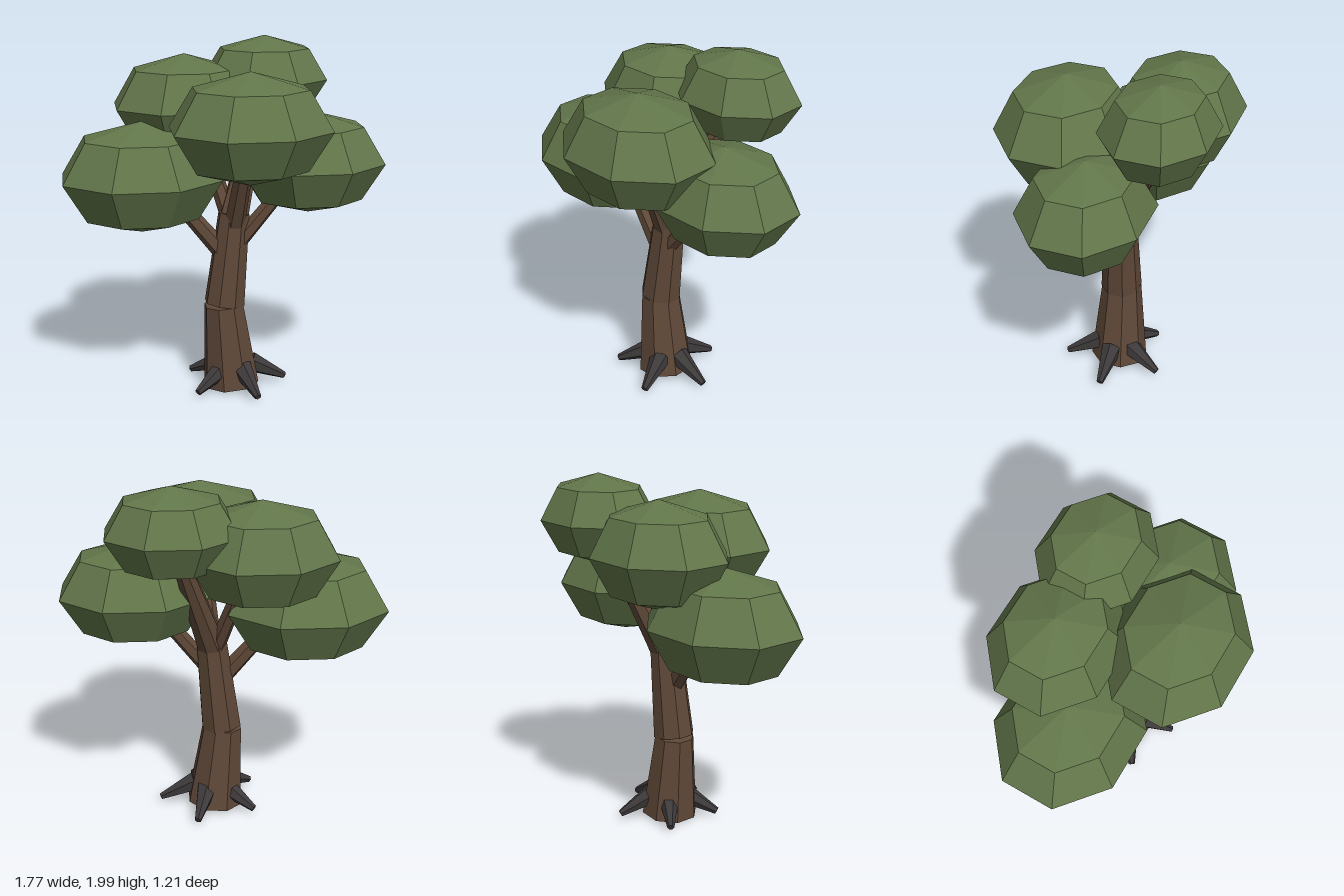
import * as THREE from 'three';

const material = (name, color) => {
  const m = new THREE.MeshStandardMaterial({ color, flatShading: true });
  m.name = name;
  return m;
};

export function createModel() {
  const tree = new THREE.Group();
  tree.name = 'tree';
  const bark = material('bark brown', 0x5f4838);
  const rootGrey = material('root grey', 0x3d393a);
  const leaf = material('leaf green', 0x62764a);

  // Tapered faceted limb running from one point to another
  const limb = (name, from, to, r0, r1, sides, mat) => {
    const a = new THREE.Vector3(...from), b = new THREE.Vector3(...to);
    const dir = b.clone().sub(a);
    const geo = new THREE.CylinderGeometry(r1, r0, dir.length(), sides);
    geo.rotateY(Math.PI / sides);
    const mesh = new THREE.Mesh(geo, mat);
    mesh.name = name;
    mesh.position.copy(a).add(b).multiplyScalar(0.5);
    mesh.quaternion.setFromUnitVectors(new THREE.Vector3(0, 1, 0), dir.normalize());
    tree.add(mesh);
  };

  // Trunk in three leaning segments
  limb('lowerTrunk', [0.05, 0.02, -0.02], [0.005, 0.505, -0.02], 0.163, 0.114, 8, bark);
  limb('middleTrunk', [0.01, 0.51, -0.02], [0.065, 1.04, -0.033], 0.117, 0.09, 8, bark);
  limb('upperTrunk', [0.06, 1.0, -0.035], [0.25, 1.62, -0.28], 0.085, 0.045, 8, bark);

  // Branches reaching into the foliage
  limb('leftBranch', [0.06, 0.84, -0.01], [0.43, 1.29, 0], 0.05, 0.036, 6, bark);
  limb('rightBranch', [0.02, 0.79, -0.02], [-0.34, 1.22, -0.06], 0.055, 0.04, 6, bark);
  limb('backBranch', [0.05, 0.98, -0.05], [-0.11, 1.5, -0.25], 0.05, 0.038, 6, bark);
  limb('frontBranch', [0.06, 0.95, -0.01], [0.1, 1.42, 0.2], 0.06, 0.045, 6, bark);

  // Five roots spread evenly around the base
  for (let i = 0; i < 5; i++) {
    const t = (i * Math.PI * 2) / 5;
    const at = (r, y) => [0.07 + r * Math.cos(t), y, -0.015 + r * Math.sin(t)];
    limb('root', at(0.09, 0.135), at(0.295, 0.037), 0.062, 0.02, 6, rootGrey);
  }

  // Foliage: centre, then half extents measured across the flats
  const clumps = [
    ['frontFoliage', [0.11, 1.573, 0.255], [0.42, 0.305, 0.35]],
    ['backRightFoliage', [-0.185, 1.617, -0.28], [0.39, 0.292, 0.328]],
    ['topFoliage', [0.28, 1.753, -0.32], [0.342, 0.247, 0.286]],
    ['leftFoliage', [0.483, 1.33, 0], [0.402, 0.29, 0.335]],
    ['rightFoliage', [-0.45, 1.255, -0.065], [0.435, 0.315, 0.365]],
  ];
  const flat = Math.cos(Math.PI / 8);
  for (const [name, centre, half] of clumps) {
    const geo = new THREE.SphereGeometry(1, 8, 4).rotateY(Math.PI / 8);
    geo.scale(half[0] / flat, half[1], half[2] / flat);
    const mesh = new THREE.Mesh(geo, leaf);
    mesh.name = name;
    mesh.position.set(...centre);
    tree.add(mesh);
  }

  return tree;
}
